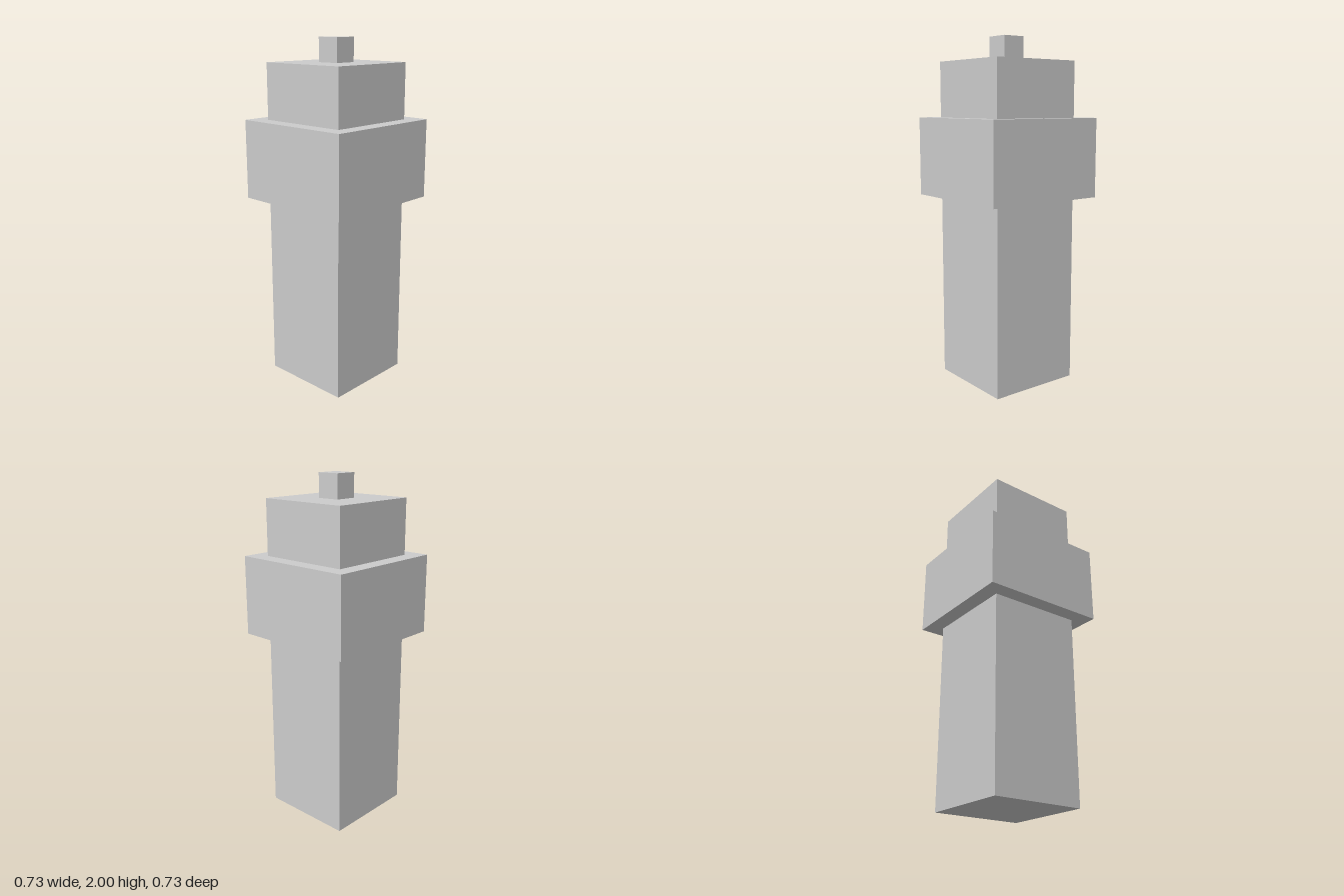
import * as THREE from 'three';

export function createModel() {
  const model = new THREE.Group();
  model.name = 'tower';

  const stone = new THREE.MeshStandardMaterial({ color: 0xcccccc });
  stone.name = 'light grey';

  const unit = 1 / 22; // the tower is 44 units tall

  // Square blocks stacked from the ground up: name, width, height
  const blocks = [
    ['shaft', 12, 24],
    ['wideBand', 16, 10],
    ['upperBlock', 12, 7],
    ['topCube', 3, 3],
  ];

  let base = 0;
  for (const [name, width, height] of blocks) {
    const geometry = new THREE.BoxGeometry(width * unit, height * unit, width * unit);
    const block = new THREE.Mesh(geometry, stone);
    block.name = name;
    block.position.y = (base + height / 2) * unit;
    model.add(block);
    base += height;
  }

  return model;
}
